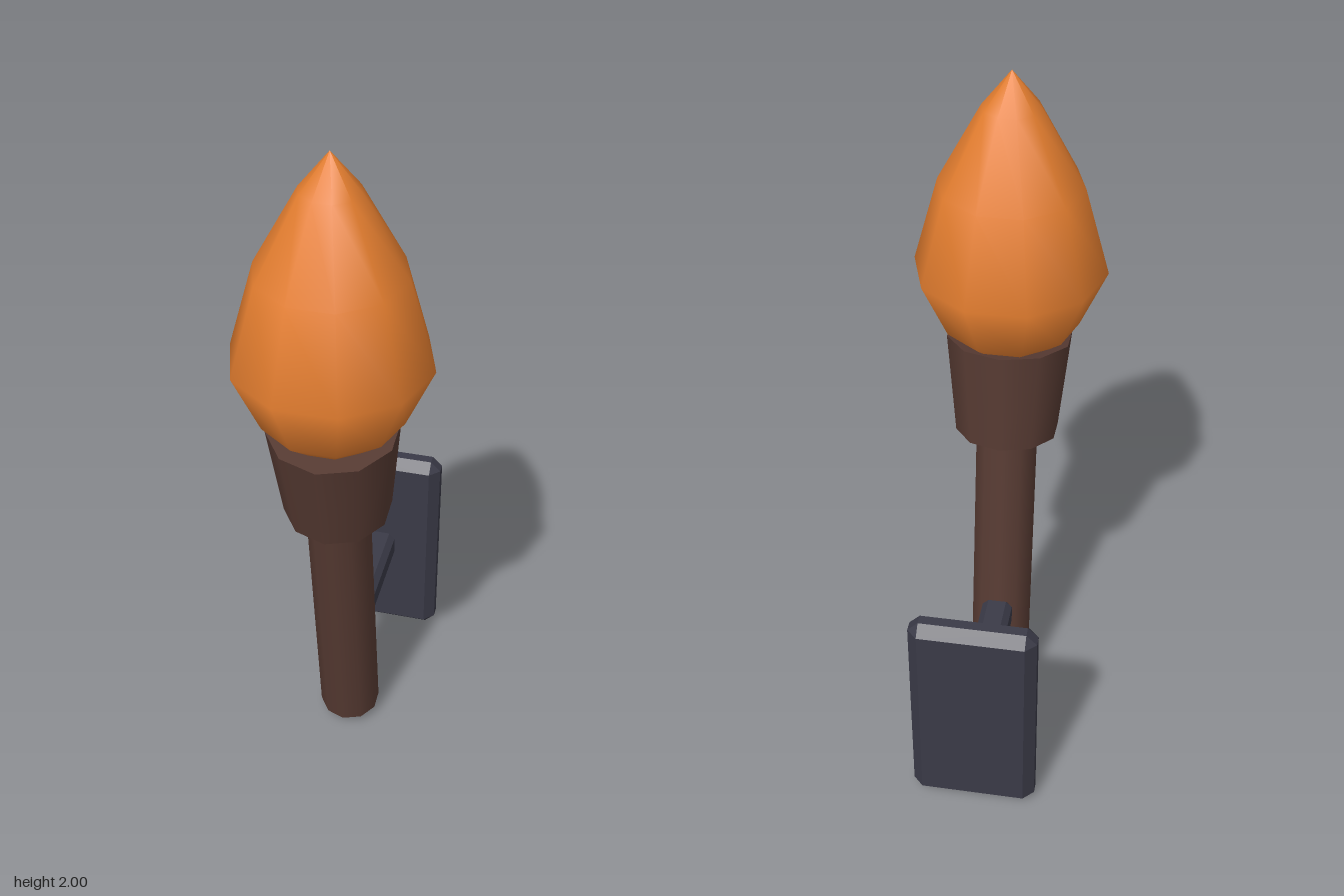
import * as THREE from 'three';
import { ConvexGeometry } from 'three/addons/geometries/ConvexGeometry.js';

const material = (name, color) => {
  const m = new THREE.MeshStandardMaterial({ color });
  m.name = name;
  return m;
};

// Box with every edge cut at 45 degrees
function chamferBox(w, h, d, c) {
  const pts = [];
  for (const sx of [-1, 1]) for (const sy of [-1, 1]) for (const sz of [-1, 1]) {
    for (const [a, b, e] of [[0, c, c], [c, 0, c], [c, c, 0]]) {
      pts.push(new THREE.Vector3(sx * (w / 2 - a), sy * (h / 2 - b), sz * (d / 2 - e)));
    }
  }
  return new ConvexGeometry(pts);
}

export function createModel() {
  const wood = material('dark wood', 0x563a32);
  const iron = material('dark iron', 0x3a3a47);
  const fire = material('orange flame', 0xe67f30);
  const model = new THREE.Group();
  model.name = 'wallTorch';

  const add = (parent, name, geometry, mat, x, y, z) => {
    const mesh = new THREE.Mesh(geometry, mat);
    mesh.name = name;
    mesh.position.set(x, y, z);
    parent.add(mesh);
    return mesh;
  };

  // Wall bracket
  add(model, 'wallPlate', chamferBox(0.36, 0.67, 0.09, 0.03), iron, 0, 0.335, -0.425);
  add(model, 'bracketArm', chamferBox(0.09, 0.09, 0.40, 0.018), iron, 0, 0.335, -0.2);

  // Leaning torch: handle and flared cup share one tilted axis
  const torch = new THREE.Group();
  torch.name = 'torch';
  torch.position.set(0, 0.04, 0.028);
  torch.rotation.x = 0.15;
  model.add(torch);
  add(torch, 'handle', new THREE.CylinderGeometry(0.09, 0.09, 0.93, 10), wood, 0, 0.465, 0);
  add(torch, 'cup', new THREE.CylinderGeometry(0.18, 0.15, 0.3, 10), wood, 0, 1.035, 0);

  // Upright flame
  const profile = [
    [0, 1.16], [0.11, 1.19], [0.195, 1.26], [0.27, 1.43], [0.2, 1.68], [0.08, 1.9], [0, 2],
  ].map(([r, y]) => new THREE.Vector2(r, y));
  const flame = add(model, 'flame', new THREE.LatheGeometry(profile, 10), fire, 0, 0, 0.212);
  flame.rotation.y = Math.PI / 2;

  return model;
}
